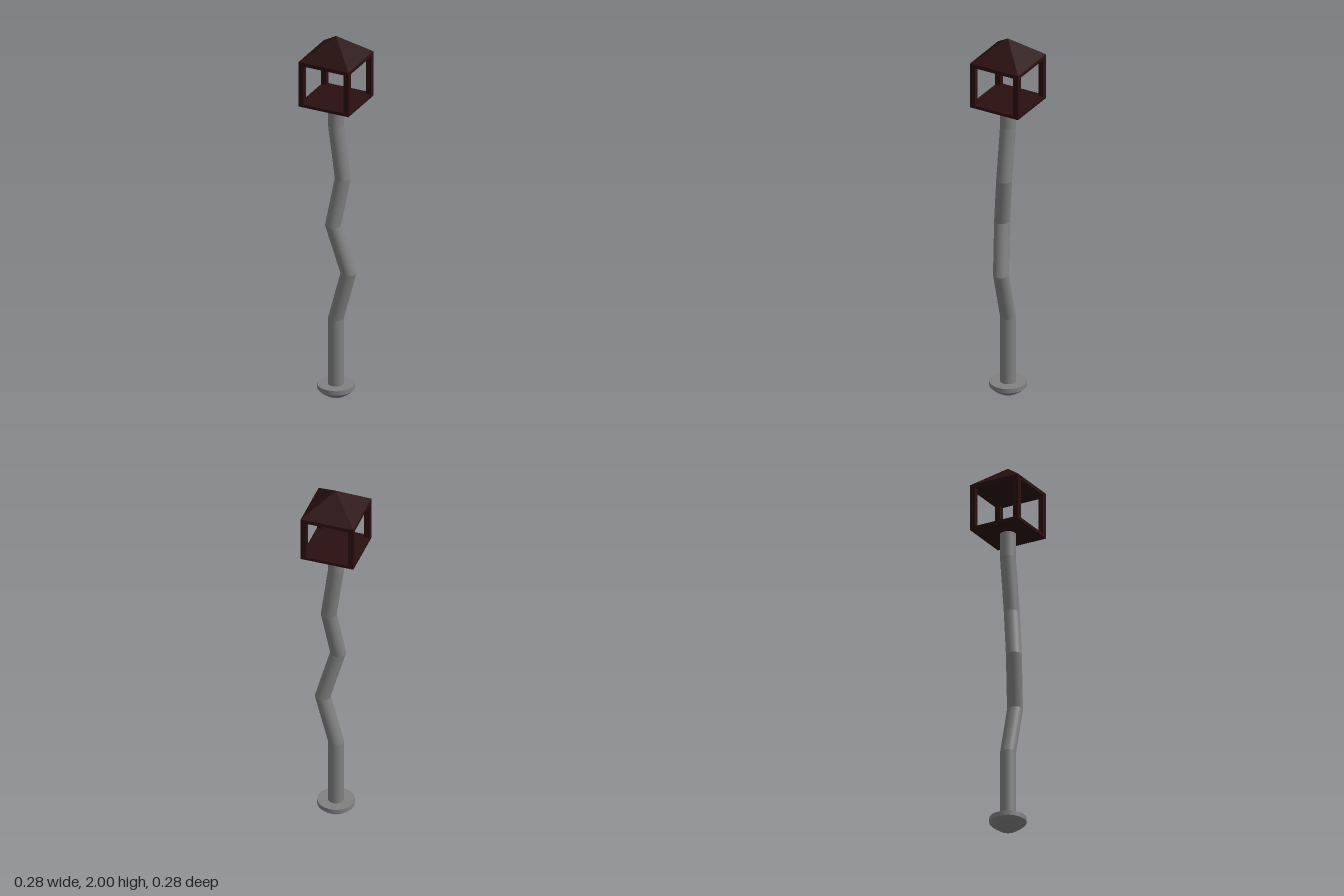
import * as THREE from 'three';

export function createModel() {
  const model = new THREE.Group();
  const stone = new THREE.MeshStandardMaterial({ name: 'grey stone', color: 0x808080 });
  const wood = new THREE.MeshStandardMaterial({ name: 'dark brown', color: 0x2a1010 });

  const add = (name, geometry, material, x = 0, y = 0, z = 0) => {
    const mesh = new THREE.Mesh(geometry, material);
    mesh.name = name;
    mesh.position.set(x, y, z);
    model.add(mesh);
    return mesh;
  };

  // Rounded foot: shallow dome below a flat-sided rim
  const dome = [[0, 0], [0.02, 0.002], [0.04, 0.008], [0.06, 0.02], [0.078, 0.033], [0.094, 0.048]]
    .map(([r, y]) => new THREE.Vector2(r, y));
  add('footDome', new THREE.LatheGeometry(dome, 32), stone);
  add('footRim', new THREE.CylinderGeometry(0.094, 0.094, 0.024, 32), stone, 0, 0.06, 0);

  // Crooked pole: sheared cylinders between level rings
  const bends = [
    [0, 0.06, 0], [0, 0.435, 0], [0.07, 0.7, 0], [0, 0.965, 0.034],
    [0.038, 1.22, 0], [0, 1.505, 0], [0, 1.645, 0],
  ];
  for (let i = 0; i < bends.length - 1; i++) {
    const [x0, y0, z0] = bends[i];
    const [x1, y1, z1] = bends[i + 1];
    const h = y1 - y0;
    const section = new THREE.CylinderGeometry(0.04, 0.04, h, 32, 1, true);
    section.translate(0, h / 2, 0);
    section.applyMatrix4(new THREE.Matrix4().set(
      1, (x1 - x0) / h, 0, x0,
      0, 1, 0, y0,
      0, (z1 - z0) / h, 1, z0,
      0, 0, 0, 1));
    add('poleSection', section, stone);
  }

  // Lantern frame: floor, ceiling and four corner posts
  const half = 0.139, post = 0.028;
  add('lanternFloor', new THREE.BoxGeometry(half * 2, 0.016, half * 2), wood, 0, 1.646, 0);
  add('lanternCeiling', new THREE.BoxGeometry(half * 2, 0.02, half * 2), wood, 0, 1.875, 0);
  const offset = half - post / 2;
  for (const sx of [-1, 1]) {
    for (const sz of [-1, 1]) {
      add('cornerPost', new THREE.BoxGeometry(post, 0.211, post), wood, sx * offset, 1.7595, sz * offset);
    }
  }

  // Pyramid roof
  const roof = new THREE.ConeGeometry(half * Math.SQRT2, 0.115, 4).toNonIndexed();
  roof.rotateY(Math.PI / 4);
  roof.computeVertexNormals();
  add('roof', roof, wood, 0, 1.9425, 0);

  return model;
}
